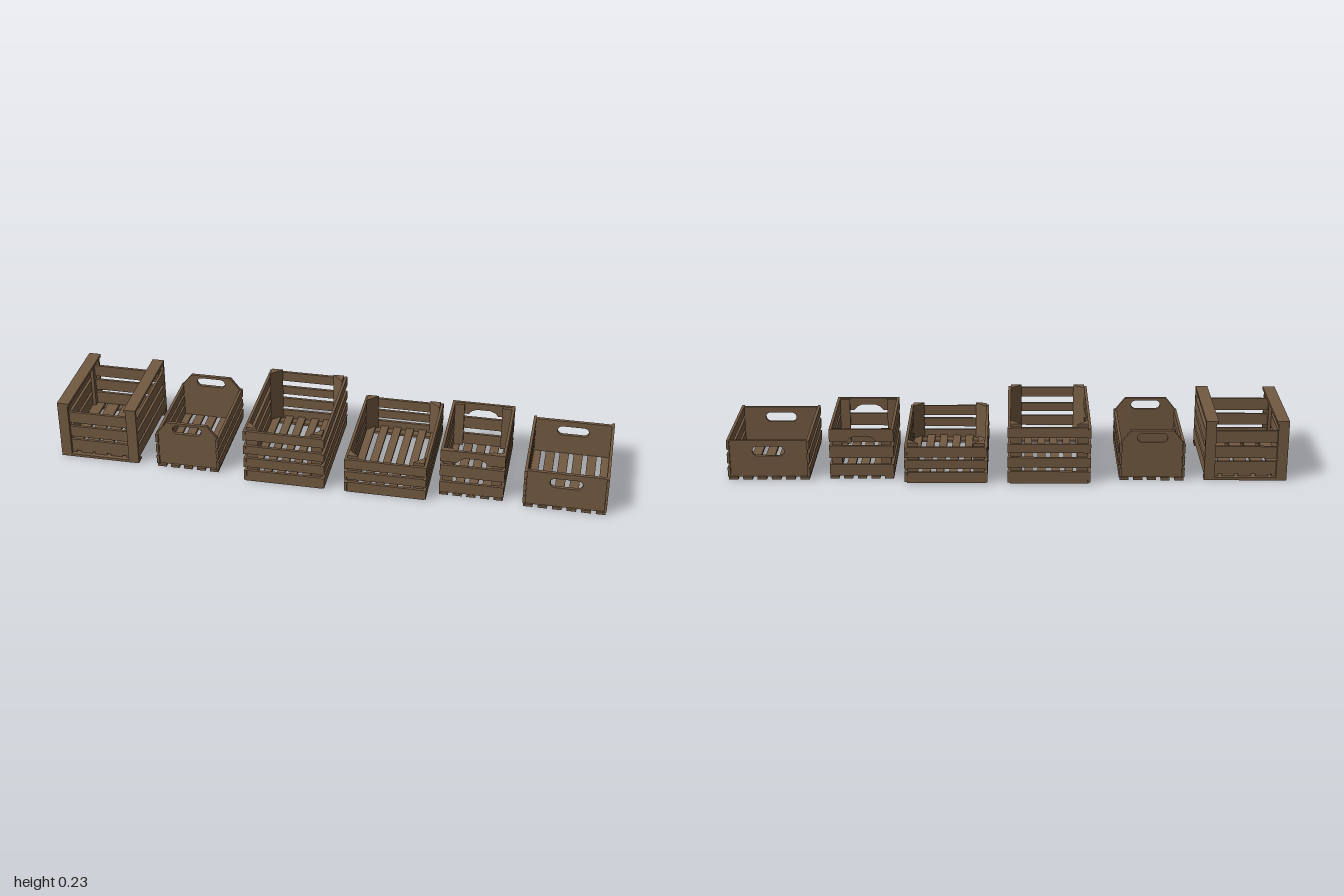
import * as THREE from 'three';

const wood = new THREE.MeshStandardMaterial({ color: 0x735a42 });
wood.name = 'brown wood';

// Small seeded wobble for hand-nailed boards
let seed = 7;
function wobble(amount) {
  seed = (seed * 16807) % 2147483647;
  return (seed / 2147483647 - 0.5) * 2 * amount;
}

function add(parent, name, geometry, x = 0, y = 0, z = 0) {
  const mesh = new THREE.Mesh(geometry, wood);
  mesh.name = name;
  mesh.position.set(x, y, z);
  parent.add(mesh);
  return mesh;
}

function board(parent, name, w, h, d, x, y, z) {
  return add(parent, name, new THREE.BoxGeometry(w, h, d), x, y, z);
}

function crate(root, name, x, z = 0) {
  const group = new THREE.Group();
  group.name = name;
  group.position.set(x, 0, z);
  root.add(group);
  return group;
}

// Floor slats running front to back
function floor(parent, count, width, slat, length, y, tilt = 0) {
  for (let i = 0; i < count; i++) {
    const x = -width / 2 + slat / 2 + (i * (width - slat)) / (count - 1);
    const inner = i > 0 && i < count - 1;
    const mesh = board(parent, 'floorSlat', slat, 0.01, length, x, y, 0);
    if (inner) mesh.rotation.y = wobble(tilt);
  }
}

// Slats on the two long sides; rows are [bottom, top]
function sideSlats(parent, rows, x, length, tilt = 0) {
  for (const s of [-1, 1]) for (const [a, b] of rows) {
    board(parent, 'sideSlat', 0.01, b - a, length, s * x, (a + b) / 2, 0).rotation.x = wobble(tilt);
  }
}

// Slats on the front and back
function endSlats(parent, rows, z, length, tilt = 0) {
  for (const s of [-1, 1]) for (const [a, b] of rows) {
    board(parent, 'endSlat', length, b - a, 0.01, 0, (a + b) / 2, s * z).rotation.z = wobble(tilt);
  }
}

// Rounded hand hole
function handHole(width, bottom, top) {
  const r = (top - bottom) / 2, cy = (top + bottom) / 2, cx = width / 2 - r;
  const hole = new THREE.Path();
  hole.absarc(cx, cy, r, -Math.PI / 2, Math.PI / 2, false);
  hole.absarc(-cx, cy, r, Math.PI / 2, Math.PI * 1.5, false);
  hole.closePath();
  return hole;
}

// Same cut panel on the front and back
function endPanels(parent, points, hole, z, thickness = 0.012) {
  const shape = new THREE.Shape(points.map(([x, y]) => new THREE.Vector2(x, y)));
  if (hole) shape.holes.push(hole);
  const geo = new THREE.ExtrudeGeometry(shape, { depth: thickness, bevelEnabled: false, curveSegments: 6 });
  geo.translate(0, 0, -thickness / 2);
  for (const s of [-1, 1]) add(parent, 'handlePanel', geo, 0, 0, s * z);
}

// Triangular posts filling the four inside corners
function cornerPosts(parent, x, z, leg, bottom, top) {
  for (const sx of [-1, 1]) for (const sz of [-1, 1]) {
    const shape = new THREE.Shape([
      new THREE.Vector2(sx * x, -sz * z),
      new THREE.Vector2(sx * (x - leg), -sz * z),
      new THREE.Vector2(sx * x, -sz * (z - leg)),
    ]);
    const geo = new THREE.ExtrudeGeometry(shape, { depth: top - bottom, bevelEnabled: false });
    geo.rotateX(-Math.PI / 2);
    add(parent, 'cornerPost', geo, 0, bottom, 0);
  }
}

// Crate with corner posts and two long top rails
function railCrate(root) {
  const g = crate(root, 'railCrate', -0.8525);
  const rows = [[0.02, 0.068], [0.081, 0.125], [0.14, 0.185]];
  for (const sx of [-1, 1]) {
    for (const sz of [-1, 1]) {
      board(g, 'cornerPost', 0.038, 0.21, 0.012, sx * 0.1285, 0.111, sz * 0.18);
      board(g, 'innerPost', 0.012, 0.21, 0.03, sx * 0.13, 0.111, sz * 0.16);
    }
    board(g, 'topRail', 0.044, 0.011, 0.374, sx * 0.1255, 0.2205, 0);
  }
  endSlats(g, rows, 0.169, 0.285, 0.008);
  sideSlats(g, rows, 0.1425, 0.37, 0.004);
  floor(g, 5, 0.28, 0.045, 0.34, 0.015, 0.02);
  for (const s of [-1, 1]) board(g, 'floorBatten', 0.295, 0.01, 0.035, 0, 0.005, s * 0.168);
}

// Crate with chamfered handle panels
function chamferCrate(root) {
  const g = crate(root, 'chamferCrate', -0.5175);
  endPanels(g, [[-0.112, 0.008], [0.112, 0.008], [0.112, 0.14], [0.076, 0.186], [-0.076, 0.186], [-0.112, 0.14]],
    handHole(0.108, 0.142, 0.176), 0.172);
  sideSlats(g, [[0.012, 0.045], [0.058, 0.09], [0.103, 0.136]], 0.1125, 0.374);
  floor(g, 5, 0.228, 0.032, 0.374, 0.005);
}

// Slatted crate with triangular corner posts
function slatCrate(root, name, x, rows, postTop) {
  const g = crate(root, name, x);
  endSlats(g, rows, 0.215, 0.285, 0.005);
  sideSlats(g, rows, 0.1425, 0.446, 0.003);
  cornerPosts(g, 0.1375, 0.21, 0.04, 0.01, postTop);
  floor(g, 6, 0.27, 0.029, 0.42, 0.015, 0.012);
  for (const s of [-1, 1]) board(g, 'floorBatten', 0.28, 0.01, 0.035, 0, 0.005, s * 0.2);
}

// Crate whose top end boards have an arched finger cut
function archCrate(root) {
  const g = crate(root, 'archCrate', 0.52, -0.003);
  endPanels(g, [[-0.114, 0.14], [-0.055, 0.14], [-0.042, 0.154], [-0.025, 0.161], [0.025, 0.161], [0.042, 0.154],
    [0.055, 0.14], [0.114, 0.14], [0.114, 0.187], [-0.114, 0.187]], null, 0.166, 0.01);
  endSlats(g, [[0.01, 0.054], [0.078, 0.125]], 0.166, 0.228);
  sideSlats(g, [[0.01, 0.054], [0.078, 0.125], [0.14, 0.187]], 0.11, 0.342);
  for (const sx of [-1, 1]) for (const sz of [-1, 1]) {
    board(g, 'cornerPost', 0.036, 0.176, 0.012, sx * 0.088, 0.097, sz * 0.155);
  }
  floor(g, 5, 0.228, 0.032, 0.346, 0.005);
}

// Low crate with plain handle panels
function lowCrate(root) {
  const g = crate(root, 'lowCrate', 0.8525);
  endPanels(g, [[-0.14, 0.008], [0.14, 0.008], [0.14, 0.147], [-0.14, 0.147]], handHole(0.115, 0.088, 0.125), 0.174);
  sideSlats(g, [[0.012, 0.047], [0.062, 0.098], [0.114, 0.148]], 0.1425, 0.374);
  floor(g, 6, 0.29, 0.034, 0.374, 0.005);
}

export function createModel() {
  const root = new THREE.Group();
  root.name = 'woodenCrates';
  railCrate(root);
  chamferCrate(root);
  slatCrate(root, 'tallSlatCrate', -0.15, [[0.006, 0.046], [0.061, 0.099], [0.117, 0.15], [0.175, 0.212]], 0.223);
  slatCrate(root, 'shortSlatCrate', 0.2175, [[0.006, 0.042], [0.055, 0.088], [0.1, 0.138]], 0.15);
  archCrate(root);
  lowCrate(root);
  return root;
}
